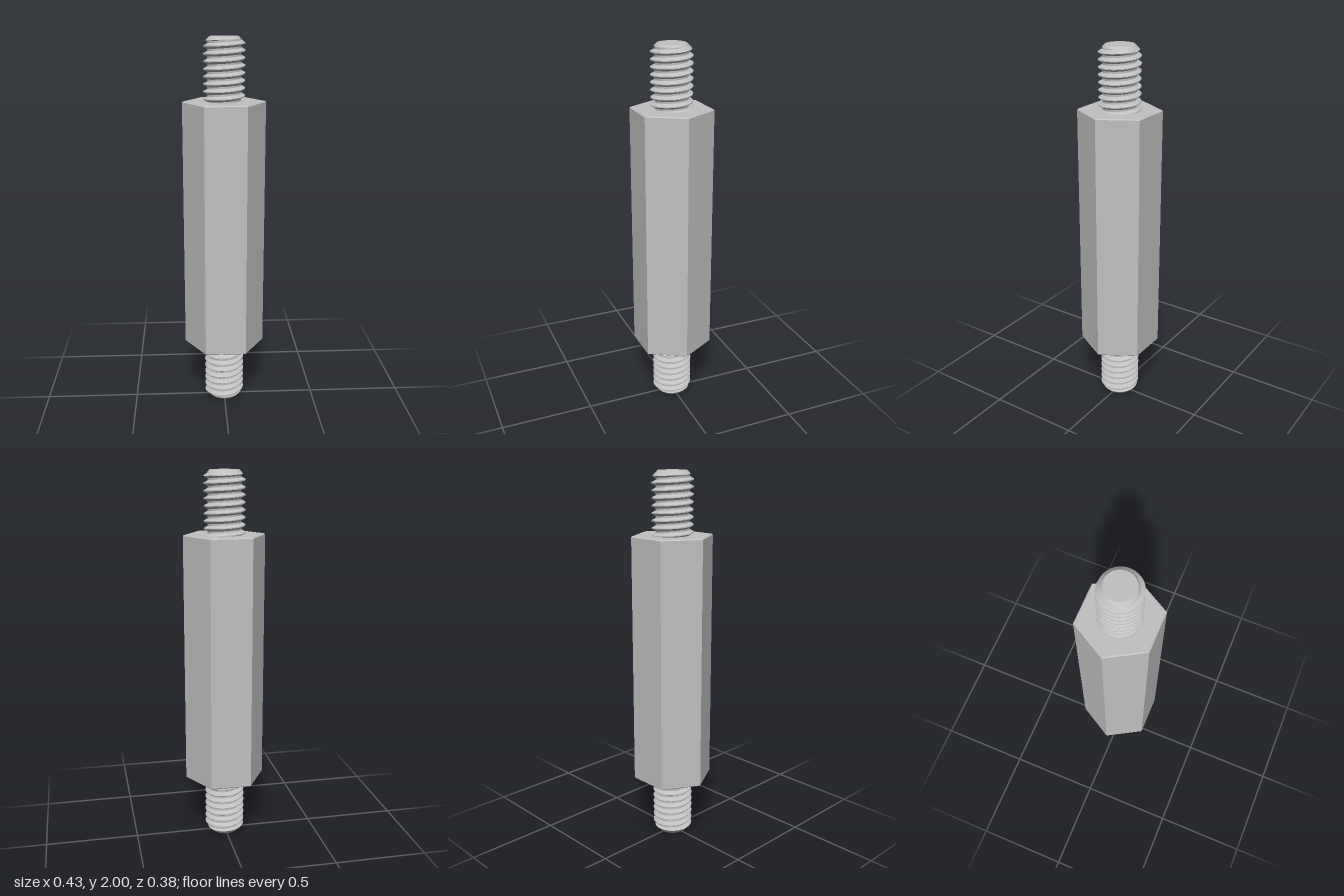
import * as THREE from 'three';
import { toCreasedNormals } from 'three/addons/utils/BufferGeometryUtils.js';

const BODY_LOW = 0.33, BODY_HIGH = 1.675;
const PITCH = 0.0378, CREST = 0.108, ROOT = 0.087, TIP = 0.075;
// one thread turn: crest flat, falling flank, root flat, rising flank
const STEPS = [0, 0.125, 0.23, 0.335, 0.4375, 0.56, 0.6875, 0.79, 0.895];

// radius of the thread at a fraction of a turn
function threadRadius(f) {
  if (f < 0.125) return CREST;
  if (f < 0.4375) return THREE.MathUtils.lerp(CREST, ROOT, (f - 0.125) / 0.3125);
  if (f < 0.6875) return ROOT;
  return THREE.MathUtils.lerp(ROOT, CREST, (f - 0.6875) / 0.3125);
}

// right-handed threaded rod from y = 0 to length, with a chamfered tip
function threadGeometry(length, sides = 48) {
  const rows = [];
  for (let turn = -1; turn <= Math.ceil(length / PITCH); turn++) {
    for (const s of STEPS) rows.push(turn + s);
  }
  const point = (row, j) => {
    const turn = j / sides, angle = turn * Math.PI * 2;
    const y = THREE.MathUtils.clamp((row + turn) * PITCH, 0, length);
    const u = y / PITCH - turn;
    const f = u - Math.floor(u + 1e-7);
    const r = Math.min(threadRadius(f), TIP + (length - y));
    return new THREE.Vector3(r * Math.cos(angle), y, -r * Math.sin(angle));
  };
  const positions = [];
  const triangle = (a, b, c) => {
    const area = b.clone().sub(a).cross(c.clone().sub(a)).length();
    if (area > 1e-9) positions.push(...a.toArray(), ...b.toArray(), ...c.toArray());
  };
  for (let i = 0; i < rows.length - 1; i++) {
    for (let j = 0; j < sides; j++) {
      const a = point(rows[i], j), b = point(rows[i], j + 1);
      const c = point(rows[i + 1], j + 1), d = point(rows[i + 1], j);
      // rows clamped to the ends collapse and are skipped
      if (a.y === d.y && b.y === c.y) continue;
      triangle(a, b, d);
      triangle(b, c, d);
    }
  }
  // flat end face
  const centre = new THREE.Vector3(0, length, 0);
  for (let j = 0; j < sides; j++) {
    triangle(centre, point(rows.at(-1), j), point(rows.at(-1), j + 1));
  }
  const geometry = new THREE.BufferGeometry();
  geometry.setAttribute('position', new THREE.Float32BufferAttribute(positions, 3));
  return toCreasedNormals(geometry, 0.5);
}

export function createModel() {
  const group = new THREE.Group();
  group.name = 'threadedStandoff';
  const steel = new THREE.MeshStandardMaterial({ color: 0xc0c0c0 });
  steel.name = 'steel';

  // hexagonal body with narrow chamfers, corners on the x axis
  const profile = [
    [0, BODY_LOW], [0.211, BODY_LOW], [0.217, BODY_LOW + 0.005],
    [0.217, BODY_HIGH - 0.005], [0.211, BODY_HIGH], [0, BODY_HIGH],
  ].map(([x, y]) => new THREE.Vector2(x, y));
  const hex = new THREE.LatheGeometry(profile, 6, Math.PI / 2).toNonIndexed();
  hex.computeVertexNormals();
  const body = new THREE.Mesh(hex, steel);
  body.name = 'hexBody';
  group.add(body);

  // matching studs, rooted just inside the body
  const length = 2 - BODY_HIGH + 0.01;
  const thread = threadGeometry(length);
  const upper = new THREE.Mesh(thread, steel);
  upper.name = 'upperStud';
  upper.position.y = 2 - length;
  const lower = new THREE.Mesh(thread, steel);
  lower.name = 'lowerStud';
  lower.rotation.z = Math.PI;
  lower.position.y = length;
  group.add(upper, lower);
  return group;
}
